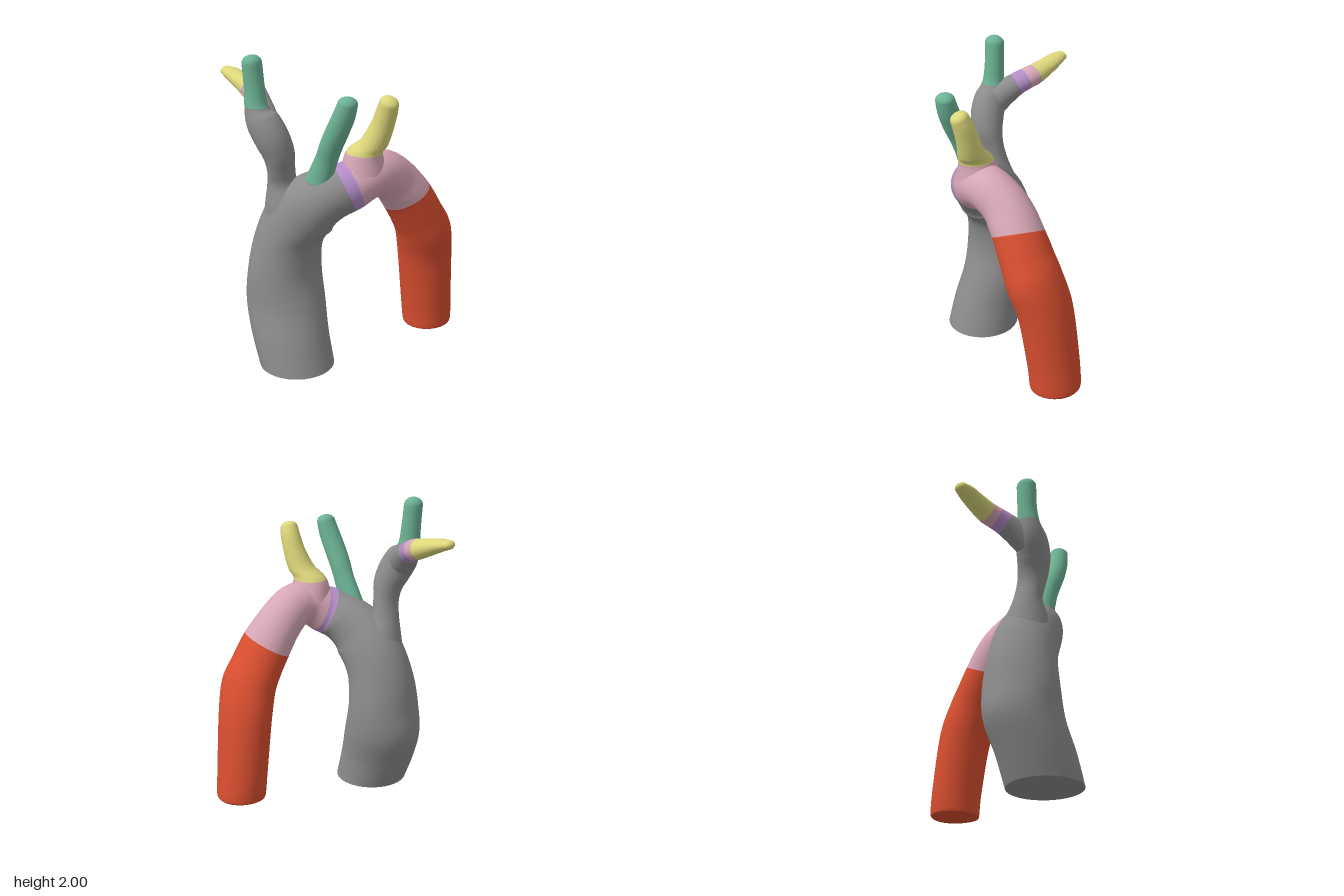
import * as THREE from 'three';

const SIDES = 40, STEPS = 8;
const UP = [0, 1, 0];

const mat = (name, color) => {
  const m = new THREE.MeshStandardMaterial({ color });
  m.name = name;
  return m;
};

// Catmull-Rom interpolation of whole stations (centre, half widths, ring normal)
function interpolate(st, t) {
  const i = Math.min(Math.floor(t), st.length - 2), f = t - i;
  const p = k => st[Math.max(0, Math.min(st.length - 1, k))];
  return st[0].map((_, c) => {
    const [a, b, d, e] = [p(i - 1)[c], p(i)[c], p(i + 1)[c], p(i + 2)[c]];
    return b + 0.5 * f * (d - a + f * (2 * a - 5 * b + 4 * d - e + f * (3 * (b - d) + e - a)));
  });
}

// Ring normal of a station: as given, or along the centreline
function withNormal(st, i) {
  const a = st[Math.max(0, i - 1)], b = st[Math.min(st.length - 1, i + 1)];
  const n = new THREE.Vector3(b[0] - a[0], b[1] - a[1], b[2] - a[2]);
  if (st[i].length > 5) n.fromArray(st[i], 5);
  return [...st[i].slice(0, 5), ...n.normalize().toArray()];
}

// Smooth tube through stations [x, y, z, halfU, halfV, optional normal].
// bands: [material, last station index]; flat closes both ends, round domes the far end.
function vessel(name, points, bands, { ref = [1, 0, 0], flat = false, round = 0 }) {
  const stations = points.map((_, i) => withNormal(points, i));
  const axis = new THREE.Vector3(...ref);
  const rings = [];
  for (let k = 0; k <= (stations.length - 1) * STEPS; k++) rings.push(interpolate(stations, k / STEPS));
  if (round) {
    const [x, y, z, a, b, nx, ny, nz] = rings[rings.length - 1];
    for (let k = 1; k <= 8; k++) {
      const t = k / 8 * Math.PI / 2, d = round * Math.sin(t), s = Math.max(Math.cos(t), 0.002);
      rings.push([x + nx * d, y + ny * d, z + nz * d, a * s, b * s, nx, ny, nz]);
    }
  }
  const pos = [], index = [];
  for (const [x, y, z, a, b, nx, ny, nz] of rings) {
    const n = new THREE.Vector3(nx, ny, nz).normalize();
    const v = new THREE.Vector3().crossVectors(n, axis).normalize();
    const u = new THREE.Vector3().crossVectors(v, n);
    for (let j = 0; j < SIDES; j++) {
      const t = j / SIDES * Math.PI * 2, c = a * Math.cos(t), s = b * Math.sin(t);
      pos.push(x + u.x * c + v.x * s, y + u.y * c + v.y * s, z + u.z * c + v.z * s);
    }
  }
  for (let i = 0; i < rings.length - 1; i++) for (let j = 0; j < SIDES; j++) {
    const a = i * SIDES + j, b = i * SIDES + (j + 1) % SIDES;
    index.push(a, b, a + SIDES, b, b + SIDES, a + SIDES);
  }
  const geo = new THREE.BufferGeometry();
  let from = 0;
  bands.forEach(([, last], i) => {
    const to = i === bands.length - 1 ? index.length : last * STEPS * SIDES * 6;
    geo.addGroup(from, to - from, i);
    from = to;
  });
  // Flat ends get their own vertices so the rim stays sharp
  const cap = (ring, first) => {
    const base = pos.length / 3, begin = index.length;
    pos.push(...pos.slice(ring * SIDES * 3, (ring + 1) * SIDES * 3), ...rings[ring].slice(0, 3));
    for (let j = 0; j < SIDES; j++) {
      const a = base + j, b = base + (j + 1) % SIDES;
      index.push(...(first ? [b, a] : [a, b]), base + SIDES);
    }
    geo.addGroup(begin, SIDES * 3, first ? 0 : bands.length - 1);
  };
  if (flat) {
    cap(0, true);
    cap(rings.length - 1, false);
  }
  geo.setAttribute('position', new THREE.Float32BufferAttribute(pos, 3));
  geo.setIndex(index);
  geo.computeVertexNormals();
  const mesh = new THREE.Mesh(geo, bands.map(b => b[0]));
  mesh.name = name;
  return mesh;
}

export function createModel() {
  const grey = mat('grey', 0x8c8c8c), purple = mat('purple', 0xb48cc8), pink = mat('pink', 0xd6a6b4);
  const red = mat('red', 0xd84e2f), green = mat('green', 0x6cb294), yellow = mat('yellow', 0xdcd67a);
  const model = new THREE.Group();

  // Main vessel: rises, arches backwards and descends
  model.add(vessel('mainArch', [
    [0.065, 0.005, 0.425, 0.24, 0.238, ...UP],
    [-0.005, 0.2, 0.41, 0.255, 0.24, ...UP],
    [-0.07, 0.4, 0.375, 0.26, 0.245, ...UP],
    [-0.085, 0.6, 0.365, 0.228, 0.245, ...UP],
    [-0.06, 0.8, 0.36, 0.222, 0.22, ...UP],
    [0.02, 0.97, 0.35, 0.225, 0.2, 0.3, 1, 0],
    [0.12, 1.08, 0.335, 0.2, 0.18],
    [0.22, 1.16, 0.295, 0.175, 0.165],
    [0.3, 1.205, 0.24, 0.158, 0.16, 0.55, 0.42, -0.7],
    [0.335, 1.225, 0.2, 0.15, 0.155, 0.48, 0.35, -0.78],
    [0.385, 1.27, 0.12, 0.145, 0.145],
    [0.405, 1.265, 0.01, 0.143, 0.145],
    [0.41, 1.19, -0.11, 0.15, 0.148],
    [0.43, 1.06, -0.22, 0.17, 0.155, 0.28, -0.9, -0.42],
    [0.45, 0.92, -0.305, 0.18, 0.157],
    [0.46, 0.8, -0.37, 0.19, 0.165],
    [0.435, 0.6, -0.435, 0.185, 0.163],
    [0.42, 0.25, -0.488, 0.172, 0.16],
    [0.42, 0.09, -0.505, 0.163, 0.162],
    [0.42, 0.07, -0.505, 0.152, 0.152],
  ], [[grey, 8], [purple, 9], [pink, 13], [red, 19]], { flat: true }));

  // Forked trunk with its upright green branch
  model.add(vessel('rightTrunk', [
    [-0.02, 0.92, 0.36, 0.19, 0.18, ...UP],
    [-0.03, 1.08, 0.38, 0.145, 0.145, ...UP],
    [-0.055, 1.2, 0.405, 0.09, 0.1, ...UP],
    [-0.047, 1.3, 0.425, 0.078, 0.095],
    [-0.045, 1.4, 0.445, 0.095, 0.1],
    [-0.075, 1.5, 0.472, 0.11, 0.106],
    [-0.13, 1.6, 0.49, 0.106, 0.1],
    [-0.17, 1.69, 0.5, 0.073, 0.073, ...UP],
    [-0.184, 1.8, 0.5, 0.063, 0.063],
    [-0.195, 1.95, 0.505, 0.058, 0.065, ...UP],
  ], [[grey, 7], [green, 9]], { round: 0.05 }));

  // Side branch tapering outwards
  model.add(vessel('rightSideBranch', [
    [-0.13, 1.57, 0.47, 0.09, 0.1],
    [-0.2, 1.63, 0.425, 0.083, 0.085],
    [-0.265, 1.675, 0.385, 0.077, 0.072],
    [-0.325, 1.705, 0.35, 0.075, 0.068],
    [-0.385, 1.725, 0.325, 0.074, 0.066],
    [-0.48, 1.755, 0.31, 0.068, 0.053],
    [-0.57, 1.783, 0.302, 0.06, 0.04],
    [-0.62, 1.793, 0.298, 0.046, 0.03],
  ], [[grey, 2], [purple, 3], [pink, 4], [yellow, 7]], { ref: [0, 0, 1], round: 0.035 }));

  // Leaning middle branch
  model.add(vessel('middleBranch', [
    [0.16, 1.13, 0.335, 0.14, 0.13, ...UP],
    [0.2, 1.26, 0.36, 0.092, 0.072, ...UP],
    [0.26, 1.4, 0.362, 0.072, 0.062],
    [0.302, 1.5, 0.367, 0.069, 0.068],
    [0.352, 1.6, 0.37, 0.069, 0.07],
    [0.398, 1.7, 0.366, 0.066, 0.068],
    [0.424, 1.78, 0.362, 0.058, 0.063, 0.15, 1, 0],
  ], [[grey, 1], [green, 6]], { round: 0.042 }));

  // Rear branch off the arch
  model.add(vessel('leftBranch', [
    [0.375, 1.31, 0.14, 0.14, 0.15, ...UP],
    [0.385, 1.43, 0.155, 0.115, 0.105, ...UP],
    [0.445, 1.5, 0.137, 0.084, 0.088, 0.2, 1, 0],
    [0.49, 1.6, 0.122, 0.071, 0.072],
    [0.525, 1.7, 0.122, 0.065, 0.064],
    [0.546, 1.757, 0.13, 0.06, 0.056],
  ], [[pink, 1], [yellow, 5]], { round: 0.04 }));

  return model;
}
